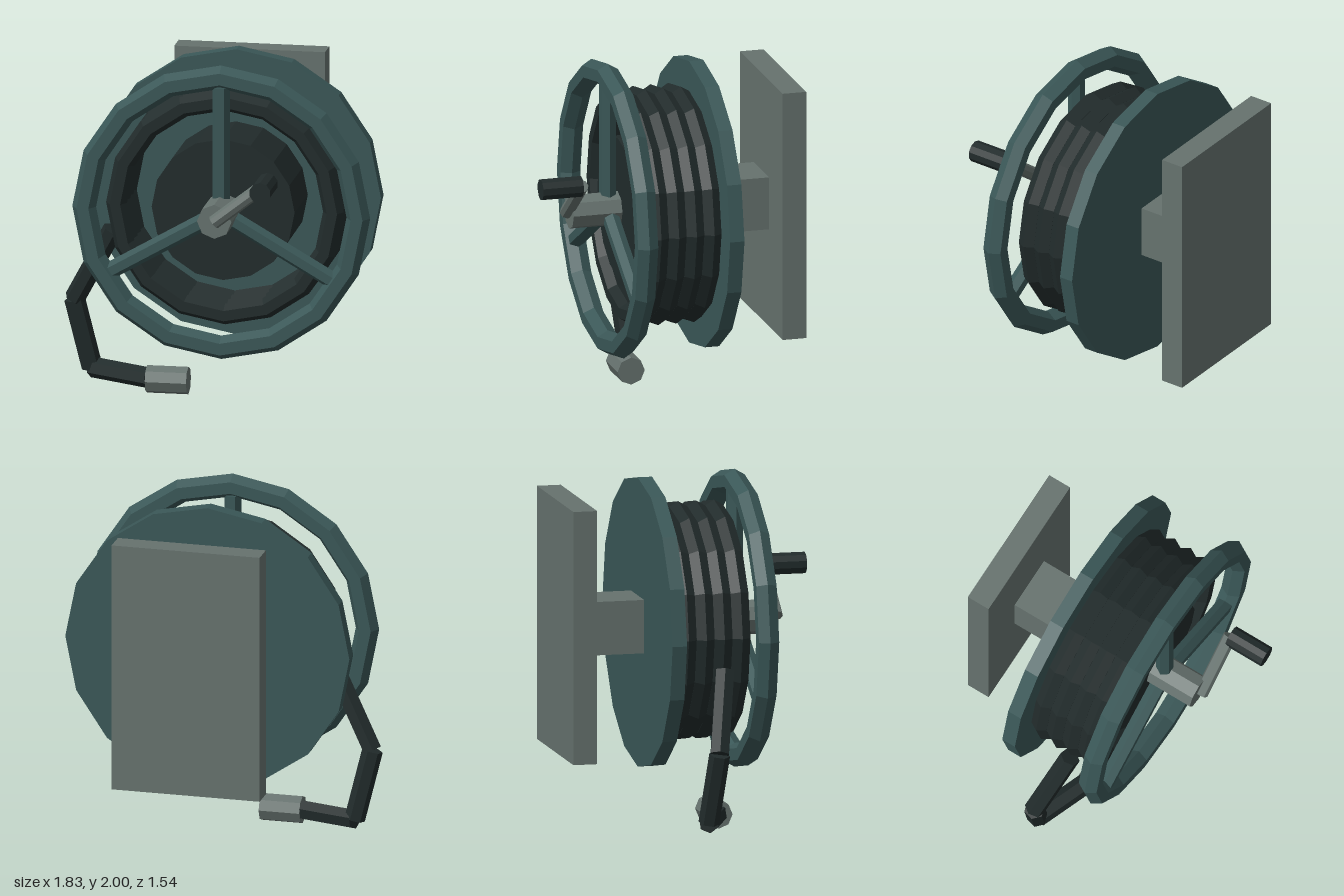
import * as THREE from 'three';

const mat = (name, color) => {
  const m = new THREE.MeshStandardMaterial({ color, flatShading: true });
  m.name = name;
  return m;
};

export function createModel() {
  const model = new THREE.Group();
  model.name = 'hoseReel';
  const teal = mat('tealPaint', 0x3a5757);
  const dark = mat('darkRubber', 0x212b2b);
  const grey = mat('greyMetal', 0x66726e);
  const CX = 0.048, CY = 1.135; // reel axle

  const add = (name, geo, material, x = 0, y = 0, z = 0) => {
    const mesh = new THREE.Mesh(geo, material);
    mesh.name = name;
    mesh.position.set(x, y, z);
    model.add(mesh);
    return mesh;
  };
  // cylinder along z between two depths
  const disc = (name, r, z0, z1, sides, material, x = CX, y = CY) =>
    add(name, new THREE.CylinderGeometry(r, r, z1 - z0, sides).rotateX(Math.PI / 2), material, x, y, (z0 + z1) / 2);
  // cylinder between two points
  const rod = (name, a, b, r, sides, material) => {
    const p = new THREE.Vector3(...a), q = new THREE.Vector3(...b);
    const d = q.clone().sub(p);
    const mesh = add(name, new THREE.CylinderGeometry(r, r, d.length(), sides), material);
    mesh.position.copy(p).add(q).multiplyScalar(0.5);
    mesh.quaternion.setFromUnitVectors(new THREE.Vector3(0, 1, 0), d.normalize());
    return mesh;
  };

  // wall mount
  add('wallPlate', new THREE.BoxGeometry(0.875, 1.47, 0.14), grey, CX, CY, -0.705);
  add('mountPost', new THREE.BoxGeometry(0.315, 0.31, 0.36), grey, CX, CY, -0.46);

  // reel body
  disc('backDisc', 0.84, -0.29, -0.205, 16, teal);
  disc('drum', 0.415, -0.21, 0.22, 16, dark);
  add('frontRing', new THREE.TorusGeometry(0.796, 0.069, 6, 16), teal, CX, CY, 0.28);

  // three spokes with a flat side to the front
  for (let i = 0; i < 3; i++) {
    const geo = new THREE.CylinderGeometry(0.05, 0.05, 0.74, 6).rotateY(Math.PI / 6).translate(0, 0.37, 0);
    add('spoke', geo, teal, CX, CY, 0.28).rotation.z = i * Math.PI * 2 / 3;
  }

  // wound hose
  for (let i = 0; i < 4; i++) {
    add('hoseCoil', new THREE.TorusGeometry(0.63, 0.0606, 6, 16), dark, CX, CY, 0.16 - i * 0.1055);
  }

  // axle and crank
  disc('axle', 0.1, 0.21, 0.51, 8, grey);
  rod('crankArm', [CX, CY, 0.525], [0.36, 1.38, 0.525], 0.04, 8, grey);
  disc('crankHandle', 0.0625, 0.53, 0.77, 10, dark, 0.361, 1.38);

  // loose end of the hose
  const path = [[-0.62, 0.95, 0.06], [-0.86, 0.51, -0.03], [-0.765, 0.1, -0.07], [-0.41, 0.085, 0.065]];
  for (let i = 0; i < 3; i++) rod('hoseEnd', path[i], path[i + 1], 0.06, 6, dark);

  const nozzle = new THREE.CylinderGeometry(0.081, 0.081, 0.24, 8).rotateZ(Math.PI / 2);
  add('nozzle', nozzle, grey, -0.3, 0.081, 0.073);

  return model;
}
